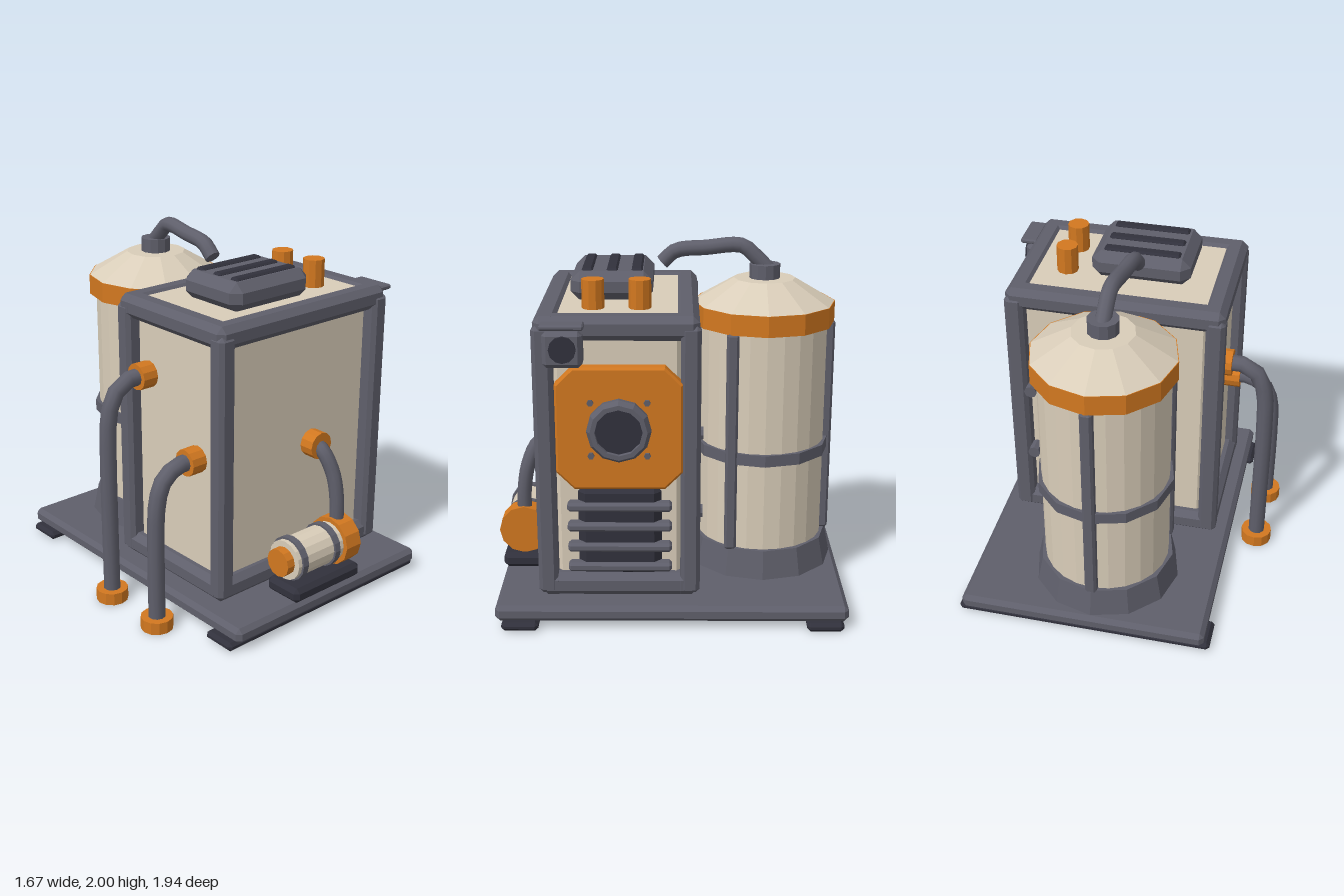
import * as THREE from 'three';
import { ConvexGeometry } from 'three/addons/geometries/ConvexGeometry.js';
import { toCreasedNormals } from 'three/addons/utils/BufferGeometryUtils.js';

const mat = (name, color) => {
  const m = new THREE.MeshStandardMaterial({ color });
  m.name = name;
  return m;
};

export function createModel() {
  const root = new THREE.Group();
  root.name = 'machineUnit';
  const grey = mat('steelGrey', 0x5f5f6b);
  const dark = mat('charcoal', 0x31313c);
  const orange = mat('orange', 0xd27820);
  const cream = mat('cream', 0xd9cdb9);

  const group = (name) => {
    const g = new THREE.Group();
    g.name = name;
    root.add(g);
    return g;
  };
  const add = (parent, name, geo, material, x = 0, y = 0, z = 0) => {
    const m = new THREE.Mesh(geo, material);
    m.name = name;
    m.position.set(x, y, z);
    parent.add(m);
    return m;
  };

  // Box with flat chamfers on every edge, given by its min and max on each axis
  const box = (parent, name, material, [x0, x1], [y0, y1], [z0, z1], c = 0.02) => {
    const h = [(x1 - x0) / 2, (y1 - y0) / 2, (z1 - z0) / 2];
    const pts = [];
    for (let axis = 0; axis < 3; axis++)
      for (let s = 0; s < 8; s++) {
        const p = h.map((v, i) => (s & (1 << i) ? 1 : -1) * (i === axis ? v : v - c));
        pts.push(new THREE.Vector3(...p));
      }
    return add(parent, name, new ConvexGeometry(pts), material, (x0 + x1) / 2, (y0 + y1) / 2, (z0 + z1) / 2);
  };

  // Faceted cylinder along an axis; r0 is the radius at the low end
  const cyl = (parent, name, material, axis, r0, r1, len, [x, y, z], sides = 12) => {
    const geo = new THREE.CylinderGeometry(r1, r0, len, sides);
    if (axis === 'x') geo.rotateZ(-Math.PI / 2);
    if (axis === 'z') geo.rotateX(Math.PI / 2);
    return add(parent, name, toCreasedNormals(geo, 0.2), material, x, y, z);
  };

  const hose = (parent, name, points, radius, segments = 14) => {
    const curve = new THREE.CatmullRomCurve3(points.map((p) => new THREE.Vector3(...p)), false, 'centripetal');
    add(parent, name, new THREE.TubeGeometry(curve, segments, radius, 10), grey);
    return curve;
  };

  // Base plate on two skids
  const base = group('base');
  box(base, 'basePlate', grey, [-0.6, 0.805], [0.045, 0.135], [-0.97, 0.94], 0.025);
  box(base, 'frontSkid', dark, [-0.63, 0.83], [0, 0.05], [0.705, 0.905], 0.018);
  box(base, 'backSkid', dark, [-0.63, 0.83], [0, 0.05], [-0.945, -0.745], 0.018);

  // Cabinet body and its frame of posts and beams
  const cab = group('cabinet');
  const CX = 0.095, CZ = 0.27;
  box(cab, 'cabinetBody', cream, [CX - 0.55, CX + 0.55], [0.125, 1.66], [CZ - 0.37, CZ + 0.37], 0.06);
  box(cab, 'topPanel', cream, [-0.41, 0.6], [1.62, 1.695], [-0.055, 0.585], 0.008);
  for (const sx of [-1, 1])
    for (const sz of [-1, 1]) {
      const x = CX + sx * 0.562, z = CZ + sz * 0.383;
      box(cab, 'cornerPost', grey, [x - 0.053, x + 0.053], [0.17, 1.66], [z - 0.053, z + 0.053], 0.022);
    }
  for (const y of [0.215, 1.645])
    for (const s of [-1, 1]) {
      const z = CZ + s * 0.362, x = CX + s * 0.545;
      box(cab, 'crossBeam', grey, [CX - 0.612, CX + 0.612], [y - 0.065, y + 0.065], [z - 0.066, z + 0.066], 0.035);
      box(cab, 'sideBeam', grey, [x - 0.066, x + 0.066], [y - 0.065, y + 0.065], [CZ - 0.428, CZ + 0.428], 0.035);
    }
  for (const y of [0.605, 1.05]) cyl(cab, 'backBolt', grey, 'z', 0.037, 0.037, 0.08, [0.58, y, -0.14], 8);

  // Roof vent and two stacks
  const roof = group('roof');
  box(roof, 'ventHood', grey, [-0.275, 0.28], [1.69, 1.85], [0.09, 0.535], 0.05);
  for (const z of [0.175, 0.31, 0.445])
    box(roof, 'ventSlot', dark, [-0.212, 0.215], [1.83, 1.862], [z - 0.03, z + 0.03], 0.01);
  for (const z of [0.155, 0.402]) cyl(roof, 'stack', orange, 'y', 0.06, 0.06, 0.17, [0.425, 1.765, z], 10);

  // Octagonal fan plate with round port and bolts
  const fan = group('fanPlate');
  box(fan, 'plateBacking', orange, [0.63, 0.695], [0.87, 1.355], [-0.07, 0.59], 0.004);
  const oct = new THREE.Shape();
  const a = 0.322, b = 0.235;
  [[a, b], [b, a], [-b, a], [-a, b], [-a, -b], [-b, -a], [b, -a], [a, -b]].forEach(([u, v], i) =>
    i ? oct.lineTo(u, v) : oct.moveTo(u, v));
  const octGeo = new THREE.ExtrudeGeometry(oct, {
    depth: 0.06, bevelEnabled: true, bevelSegments: 1, bevelSize: 0.012, bevelThickness: 0.012,
  });
  octGeo.rotateY(Math.PI / 2);
  add(fan, 'octagonPlate', octGeo, orange, 0.638, 1.112, 0.26);
  const port = new THREE.LatheGeometry([
    [0.165, -0.04], [0.17, 0.04], [0.15, 0.07], [0.125, 0.07], [0.125, 0.03],
  ].map(([r, y]) => new THREE.Vector2(r, y)), 12);
  port.rotateZ(-Math.PI / 2);
  add(fan, 'portRing', toCreasedNormals(port, 0.2), grey, 0.706, 1.115, 0.26);
  cyl(fan, 'portOpening', dark, 'x', 0.13, 0.13, 0.05, [0.725, 1.115, 0.26]);
  for (const y of [0.97, 1.26])
    for (const z of [0.113, 0.408]) cyl(fan, 'plateBolt', grey, 'x', 0.018, 0.018, 0.03, [0.71, y, z], 6);

  // Louvred grille
  const grille = group('grille');
  box(grille, 'grilleBack', dark, [0.6, 0.69], [0.265, 0.785], [0.04, 0.487], 0.04);
  for (const y of [0.325, 0.44, 0.558, 0.673])
    box(grille, 'louvre', grey, [0.64, 0.714], [y - 0.025, y + 0.025], [-0.015, 0.542], 0.014);

  // Work lamp with visor
  const lamp = group('lamp');
  box(lamp, 'lampHousing', grey, [0.64, 0.765], [1.455, 1.645], [0.44, 0.645], 0.022);
  cyl(lamp, 'lampLens', dark, 'x', 0.07, 0.07, 0.04, [0.76, 1.557, 0.54]);
  box(lamp, 'lampVisor', grey, [0.69, 0.79], [1.66, 1.688], [0.43, 0.655], 0.008);

  // Storage tank with skirt, straps and domed top
  const tank = group('tank');
  const TX = 0.05, TZ = -0.525;
  cyl(tank, 'tankSkirt', grey, 'y', 0.42, 0.385, 0.17, [TX, 0.21, TZ]);
  cyl(tank, 'tankBody', cream, 'y', 0.357, 0.357, 1.28, [TX, 0.91, TZ], 24);
  cyl(tank, 'tankBand', grey, 'y', 0.383, 0.383, 0.065, [TX, 0.83, TZ]);
  cyl(tank, 'tankCollar', orange, 'y', 0.395, 0.395, 0.115, [TX, 1.592, TZ]);
  cyl(tank, 'tankDome', cream, 'y', 0.392, 0.17, 0.13, [TX, 1.714, TZ]);
  cyl(tank, 'tankCap', grey, 'y', 0.085, 0.085, 0.09, [TX, 1.812, TZ]);
  for (const ang of [Math.PI / 3, Math.PI, -Math.PI / 3]) {
    const rib = box(tank, 'tankRib', grey, [-0.033, 0.033], [0.29, 1.54], [-0.033, 0.033], 0.013);
    rib.position.x = TX + Math.sin(ang) * 0.367;
    rib.position.z = TZ + Math.cos(ang) * 0.367;
  }
  const spout = hose(tank, 'tankPipe', [
    [0.05, 1.82, -0.55], [0.047, 1.9, -0.47], [0.042, 1.955, -0.4], [0.02, 1.94, -0.2],
    [0.002, 1.918, -0.03], [0, 1.855, 0.04],
  ], 0.043, 16);
  const end = add(tank, 'pipeEnd', new THREE.CircleGeometry(0.043, 10), grey);
  end.position.copy(spout.getPoint(1));
  end.lookAt(end.position.clone().add(spout.getTangent(1)));

  // Two drain hoses running down the side to round feet
  for (const [y, z] of [[1.285, 0.04], [0.915, 0.445]]) {
    const g = group('drainHose');
    cyl(g, 'hoseFlange', orange, 'x', 0.075, 0.075, 0.1, [-0.497, y, z]);
    hose(g, 'hose', [
      [-0.5, y, z], [-0.61, y - 0.005, z], [-0.7, y - 0.07, z], [-0.738, y - 0.19, z],
      [-0.748, y - 0.38, z], [-0.75, 0.05, z],
    ], 0.048);
    cyl(g, 'hoseFoot', orange, 'y', 0.09, 0.09, 0.07, [-0.75, 0.035, z]);
  }

  // Front pump with motor, bands and feed hose
  const pump = group('pump');
  const PY = 0.36, PZ = 0.83;
  box(pump, 'pumpMount', dark, [-0.19, 0.317], [0.135, 0.222], [0.71, 0.95], 0.025);
  cyl(pump, 'motorBody', cream, 'x', 0.113, 0.113, 0.36, [0.01, PY, PZ], 16);
  cyl(pump, 'motorCap', orange, 'x', 0.08, 0.08, 0.06, [-0.19, PY, PZ]);
  for (const x of [-0.126, 0.12]) cyl(pump, 'motorBand', grey, 'x', 0.125, 0.125, 0.038, [x, PY, PZ], 16);
  cyl(pump, 'pumpHousing', orange, 'x', 0.14, 0.14, 0.11, [0.23, PY, PZ]);
  cyl(pump, 'feedFlange', orange, 'z', 0.077, 0.077, 0.1, [0.197, 0.893, 0.675]);
  hose(pump, 'feedHose', [
    [0.197, 0.895, 0.69], [0.2, 0.86, 0.745], [0.222, 0.74, 0.8], [0.23, 0.6, 0.825], [0.23, 0.45, 0.83],
  ], 0.042, 12);

  return root;
}
